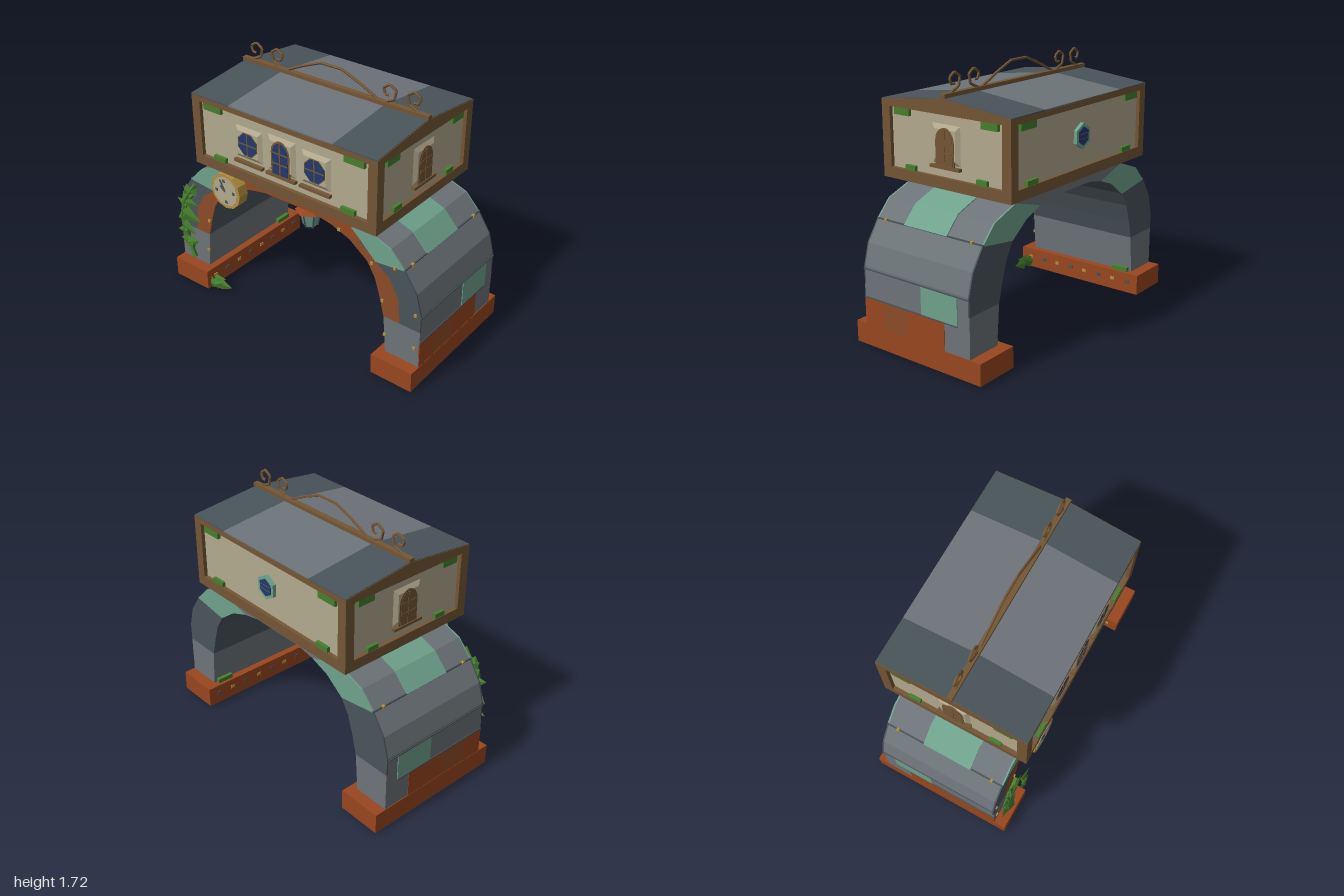
import * as THREE from 'three';

const mat = (name, color) => Object.assign(new THREE.MeshStandardMaterial({ color, flatShading: true }), { name });

export function createModel() {
  const slate = mat('slate', 0x6d7479), dark = mat('darkSlate', 0x49545a), copper = mat('copper', 0x98461f),
    rust = mat('rust', 0x8c4c27), patina = mat('patina', 0x6fa28d), cream = mat('cream', 0xb3aa8e),
    wood = mat('wood', 0x745635), gold = mat('gold', 0xb58f3f), leaf = mat('leaf', 0x477f2e), blue = mat('blueGlass', 0x22396d);
  const model = new THREE.Group();

  // Helpers
  const add = (parent, name, geo, m, x = 0, y = 0, z = 0) => {
    const mesh = new THREE.Mesh(geo, m);
    mesh.name = name;
    mesh.position.set(x, y, z);
    parent.add(mesh);
    return mesh;
  };
  const group = (name, parent = model) => {
    const g = new THREE.Group();
    g.name = name;
    parent.add(g);
    return g;
  };
  const box = (p, name, m, x0, x1, y0, y1, z0, z1) =>
    add(p, name, new THREE.BoxGeometry(Math.abs(x1 - x0), y1 - y0, Math.abs(z1 - z0)), m, (x0 + x1) / 2, (y0 + y1) / 2, (z0 + z1) / 2);
  const poly = pts => new THREE.Shape(pts.map(p => new THREE.Vector2(p[0], p[1])));
  const slab = (p, name, m, pts, z0, z1) =>
    add(p, name, new THREE.ExtrudeGeometry(poly(pts), { depth: z1 - z0, bevelEnabled: false }), m, 0, 0, z0);
  const tube = (p, name, m, pts, r, sides = 5) => {
    const path = new THREE.CurvePath();
    const v = pts.map(q => new THREE.Vector3(q[0], q[1], q[2] || 0));
    v.slice(1).forEach((b, i) => path.add(new THREE.LineCurve3(v[i], b)));
    return add(p, name, new THREE.TubeGeometry(path, (pts.length - 1) * 4, r, sides), m);
  };

  // Arch half profiles, from the foot to the crown
  const outer = [[.995, .14], [.995, .4], [.995, .52], [.957, .66], [.87, .79], [.765, .9], [.57, .97], [.3, 1.008], [0, 1.01]];
  const inner = [[.75, .14], [.73, .4], [.7, .52], [.66, .65], [.6, .75], [.465, .85], [.33, .9], [.2, .925], [0, .925]];
  const middle = outer.map((o, i) => [(o[0] + inner[i][0]) / 2, (o[1] + inner[i][1]) / 2]);
  const band = (a, b, i, j) => [...a.slice(i, j + 1), ...b.slice(i, j + 1).reverse()];
  const rim = [[.85, .4], [.83, .58], [.76, .7], [.66, .77], [.476, .94]];

  for (const s of [1, -1]) {
    const side = group(s > 0 ? 'leftArch' : 'rightArch');
    const flip = pts => pts.map(([x, y]) => [x * s, y]);
    box(side, 'base', copper, .7 * s, s, 0, .14, -.5, .5);

    // Vault shells
    slab(side, 'outerShell', slate, flip(band(outer, middle, 0, 6)), -.41, .41);
    slab(side, 'crownShell', copper, flip(band(outer, middle, 6, 8)), -.41, .41);
    slab(side, 'footLining', slate, flip(band(middle, inner, 0, 1)), -.41, .41);
    slab(side, 'vaultLining', dark, flip(band(middle, inner, 1, 8)), -.41, .41);

    // Front cladding
    const front = (name, m, pts) => slab(side, name, m, flip(pts), .41, .42);
    front('footPlate', slate, band(outer, inner, 0, 1));
    front('haunchPlate', dark, [...outer.slice(1, 5), [.66, .77], [.76, .7], [.83, .58], [.85, .4]]);
    front('copperBand', rust, [...rim.slice(0, 4), [.5, .875], ...inner.slice(1, 6).reverse()]);
    front('patinaPlate', patina, [[.87, .79], [.765, .9], [.57, .97], [.476, .94], [.66, .77]]);
    front('crownInner', rust, [[.5, .875], [.465, .85], [.33, .9], [.2, .925], [0, .925], [0, .965], [.25, .96]]);
    front('crownOuter', copper, [[.5, .875], [.56, .865], [.476, .94], [.57, .97], [.3, 1.008], [0, 1.01], [0, .965], [.25, .96]]);

    // Back cladding
    const back = (name, m, i, j) => slab(side, name, m, flip(band(outer, inner, i, j)), -.42, -.41);
    back('backFoot', slate, 0, 1);
    back('backHaunch', dark, 1, 4);
    back('backPatina', patina, 4, 6);
    back('backCrown', slate, 6, 8);

    // Patches, brick courses and seams on the outer side
    const lift = outer.map(([x, y]) => [x + .005, y + .005]);
    slab(side, 'shoulderPatch', patina, flip(band(lift, outer, 4, 6)), -.15, .19);
    const patch = (name, m, y0, y1, z0, z1, d = .005) => box(side, name, m, .99 * s, (.995 + d) * s, y0, y1, z0, z1);
    patch('sidePatch', patina, .325, .5, -.33, -.05);
    patch('brickCourse', copper, .14, .315, -.23, .06, .003);
    patch('brickCourse', rust, .14, .315, .06, .26, .003);
    patch('brickCourse', copper, .14, .315, .26, .42, .003);
    patch('seam', dark, .316, .324, -.33, .42);
    patch('seam', dark, .5, .508, -.42, .42);
    box(side, 'seam', dark, .86 * s, .872 * s, .79, .798, -.42, .42);

    // Rivets
    const studs = [[.72, .515], [.96, .515], [.745, .27], [.96, .27], [.635, .75]];
    if (s > 0) studs.push([.8, .785], [.39, .89]);
    for (const [x, y] of studs) add(side, 'rivet', new THREE.BoxGeometry(.02, .02, .012), gold, x * s, y, .422);
    for (const z of [-.34, .34]) {
      add(side, 'rivet', new THREE.BoxGeometry(.02, .016, .018), gold, .87 * s, .797, z);
      add(side, 'rivet', new THREE.BoxGeometry(.02, .016, .018), gold, .57 * s, .972, z);
    }
    for (let i = 0; i < 8; i++)
      add(side, 'baseRivet', new THREE.BoxGeometry(.01, .022, .03), i % 2 ? gold : dark, .699 * s, .08, -.42 + i * .12);
    box(side, 'moss', leaf, .72 * s, .755 * s, .14, .17, -.4, -.28);
  }

  // House body and timber frame
  const house = group('house');
  box(house, 'floor', dark, -.7, .7, 1.005, 1.012, -.485, .485);
  box(house, 'walls', cream, -.69, .69, 1.07, 1.47, -.475, .475);
  box(house, 'sillBeam', wood, -.715, .715, 1.01, 1.08, -.5, .5);
  box(house, 'topBeam', wood, -.715, .715, 1.46, 1.5, -.5, .5);
  for (const x of [1, -1]) for (const z of [1, -1])
    box(house, 'cornerPost', wood, x * .65, x * .715, 1.08, 1.46, z * .435, z * .5);

  // Roof
  const roof = (name, m, x0, x1, lift) => {
    const g = new THREE.ExtrudeGeometry(poly([[-.5, 1.495], [.5, 1.495], [.5, 1.5 + lift], [0, 1.555 + lift], [-.5, 1.5 + lift]]), { depth: x1 - x0, bevelEnabled: false });
    g.rotateY(Math.PI / 2);
    add(house, name, g, m, x0);
  };
  roof('gable', wood, -.715, .715, 0);
  roof('roofEnd', dark, -.711, -.4, .004);
  roof('roofMiddle', slate, -.4, .4, .004);
  roof('roofEnd', dark, .4, .711, .004);
  box(house, 'ridgeBeam', wood, -.72, .72, 1.558, 1.583, -.018, .018);

  // Ridge ironwork
  tube(house, 'ridgeArch', wood, [[-.36, 1.578], [-.23, 1.64], [-.08, 1.7], [.08, 1.7], [.23, 1.64], [.36, 1.578]], .009);
  const curl = [[-.035, 1.58], [.035, 1.61], [.048, 1.67], [0, 1.7], [-.045, 1.67], [-.032, 1.63], [0, 1.63]];
  for (const [x, f] of [[-.61, 1], [-.435, -1], [.435, 1], [.61, -1]])
    tube(house, 'ridgeScroll', wood, curl.map(p => [x + p[0] * f, p[1]]), .009);

  // Moss and windows on each wall, with local z = 0 at the wall
  const wall = (name, turn, dist) => {
    const g = group(name, house);
    g.rotation.y = turn;
    g.position.set(Math.sin(turn) * dist, 0, Math.cos(turn) * dist);
    return g;
  };
  const mossSet = (g, t0, t1, b0, b1, d) => {
    for (const s of [1, -1]) {
      box(g, 'moss', leaf, s * t0, s * t1, 1.415, 1.462, 0, d);
      box(g, 'moss', leaf, s * b0, s * b1, 1.078, 1.112, 0, d);
    }
  };
  const surround = (g, x, y, ky) => {
    const c = new THREE.CylinderGeometry(.115, .152, .018, 4).rotateY(Math.PI / 4).rotateX(Math.PI / 2).scale(1, ky, 1);
    add(g, 'windowSurround', c, cream, x, y, .009);
  };
  const sill = (g, x) => box(g, 'windowSill', wood, x - .115, x + .115, 1.133, 1.152, 0, .026);
  const archShape = (w, y0, y1, rise) => {
    const pts = [[-w, y0], [w, y0]];
    for (let i = 0; i <= 8; i++) pts.push([w * Math.cos(i * Math.PI / 8), y1 + rise * Math.sin(i * Math.PI / 8)]);
    return pts;
  };
  const archedWindow = (g, pane) => {
    surround(g, 0, 1.28, 1.12);
    slab(g, 'windowFrame', wood, archShape(.072, 1.15, 1.3, .082), .01, .02);
    slab(g, 'windowPane', pane, archShape(.06, 1.155, 1.3, .07), .015, .022);
    box(g, 'mullion', wood, -.005, .005, 1.155, 1.368, .018, .025);
    for (const y of [1.23, 1.3]) box(g, 'glazingBar', wood, -.06, .06, y - .004, y + .004, .018, .025);
    sill(g, 0);
  };
  const polygonPane = (g, name, m, x, r, n, z, h) => {
    const c = new THREE.CylinderGeometry(r, r, h, n).rotateY(n === 8 ? Math.PI / 8 : 0).rotateX(Math.PI / 2);
    return add(g, name, c, m, x, 1.275, z);
  };
  const fw = wall('frontWall', 0, .475);
  mossSet(fw, .475, .62, .455, .555, .022);
  archedWindow(fw, blue);
  for (const x of [-.262, .262]) {
    surround(fw, x, 1.275, 1);
    polygonPane(fw, 'roundFrame', wood, x, .084, 8, .016, .008);
    polygonPane(fw, 'roundPane', blue, x, .078, 8, .018, .008);
    box(fw, 'mullion', wood, x - .004, x + .004, 1.2, 1.35, .02, .024);
    box(fw, 'glazingBar', wood, x - .075, x + .075, 1.271, 1.279, .02, .024);
    sill(fw, x);
  }
  for (const s of [1, -1]) {
    const sw = wall('sideWall', s * Math.PI / 2, .69);
    mossSet(sw, .28, .4, .24, .32, .022);
    archedWindow(sw, wood);
  }
  const bw = wall('backWall', Math.PI, .475);
  mossSet(bw, .475, .62, .455, .555, .022);
  polygonPane(bw, 'hexFrame', patina, 0, .082, 6, .012, .024);
  polygonPane(bw, 'hexPane', blue, 0, .06, 6, .022, .008);
  for (const y of [1.26, 1.29]) box(bw, 'glazingBar', dark, -.05, .05, y - .003, y + .003, .022, .028);

  // Clock
  const clock = group('clock');
  clock.position.set(-.475, .872, .42);
  const disc = (r, h) => new THREE.CylinderGeometry(r, r, h, 12).rotateX(Math.PI / 2);
  add(clock, 'clockCase', disc(.125, .076), gold, 0, 0, .038);
  add(clock, 'clockFace', disc(.104, .006), cream, 0, 0, .076);
  for (let i = 0; i < 4; i++) {
    const a = i * Math.PI / 2 + .1;
    add(clock, 'hourMark', new THREE.BoxGeometry(.02, .02, .004), dark, Math.cos(a) * .075, Math.sin(a) * .075, .08);
  }
  for (const [a, l] of [[.5, .085], [.9, .05]]) {
    const hand = add(clock, 'clockHand', new THREE.BoxGeometry(.012, l, .004), dark, -Math.sin(a) * l / 2, Math.cos(a) * l / 2, .081);
    hand.rotation.z = a;
  }

  // Hanging lantern
  const lantern = group('lantern');
  lantern.position.z = .22;
  const ring = (name, m, r1, r2, y0, y1) => add(lantern, name, new THREE.CylinderGeometry(r1, r2, y1 - y0, 6), m, 0, (y0 + y1) / 2, 0);
  box(lantern, 'bracket', gold, -.03, .03, .9, .925, -.03, .03);
  ring('rod', dark, .009, .009, .83, .91);
  ring('lanternRoof', copper, .018, .1, .782, .84);
  ring('lanternGlass', patina, .07, .046, .675, .782);
  ring('lanternFoot', dark, .05, .03, .655, .677);
  for (let i = 0; i < 6; i++) {
    const a = i * Math.PI / 3, c = Math.sin(a), d = Math.cos(a);
    tube(lantern, 'lanternBar', dark, [[c * .071, .784, d * .071], [c * .047, .672, d * .047]], .007, 4);
  }

  // Climbing ivy and the plant by the foot
  const ivy = group('ivy');
  tube(ivy, 'ivyStem', leaf, [[-.77, .81, .47], [-.88, .66, .47], [-.93, .5, .47], [-.91, .35, .47], [-.835, .2, .47]], .018);
  const blade = (p, x, y, z, a, size) => {
    const g = new THREE.ConeGeometry(size * .5, size, 4).scale(1, 1, .32 * .1 / size);
    add(p, 'leaf', g, leaf, x, y, z).rotation.z = a;
  };
  [[-.83, .72, -1.9, .1], [-.86, .72, .9, .1], [-.84, .64, -1.6, .13], [-.92, .62, 1.2, .1], [-.83, .53, -1.8, .16],
    [-.93, .5, 2.2, .11], [-.86, .42, -2, .12], [-.93, .39, 1.8, .11], [-.9, .31, 1.4, .13], [-.83, .33, -1.2, .1], [-.79, .77, -.5, .08]]
    .forEach(([x, y, a, size]) => blade(ivy, x, y, .472, a, size));
  const plant = group('footPlant');
  [[-.58, .045, .44, -1.57, .11], [-.65, .06, .42, -1.2, .1], [-.66, .03, .46, -1.75, .1], [-.62, .06, .46, -1.1, .08]]
    .forEach(([x, y, z, a, size]) => blade(plant, x, y, z, a, size));
  return model;
}
